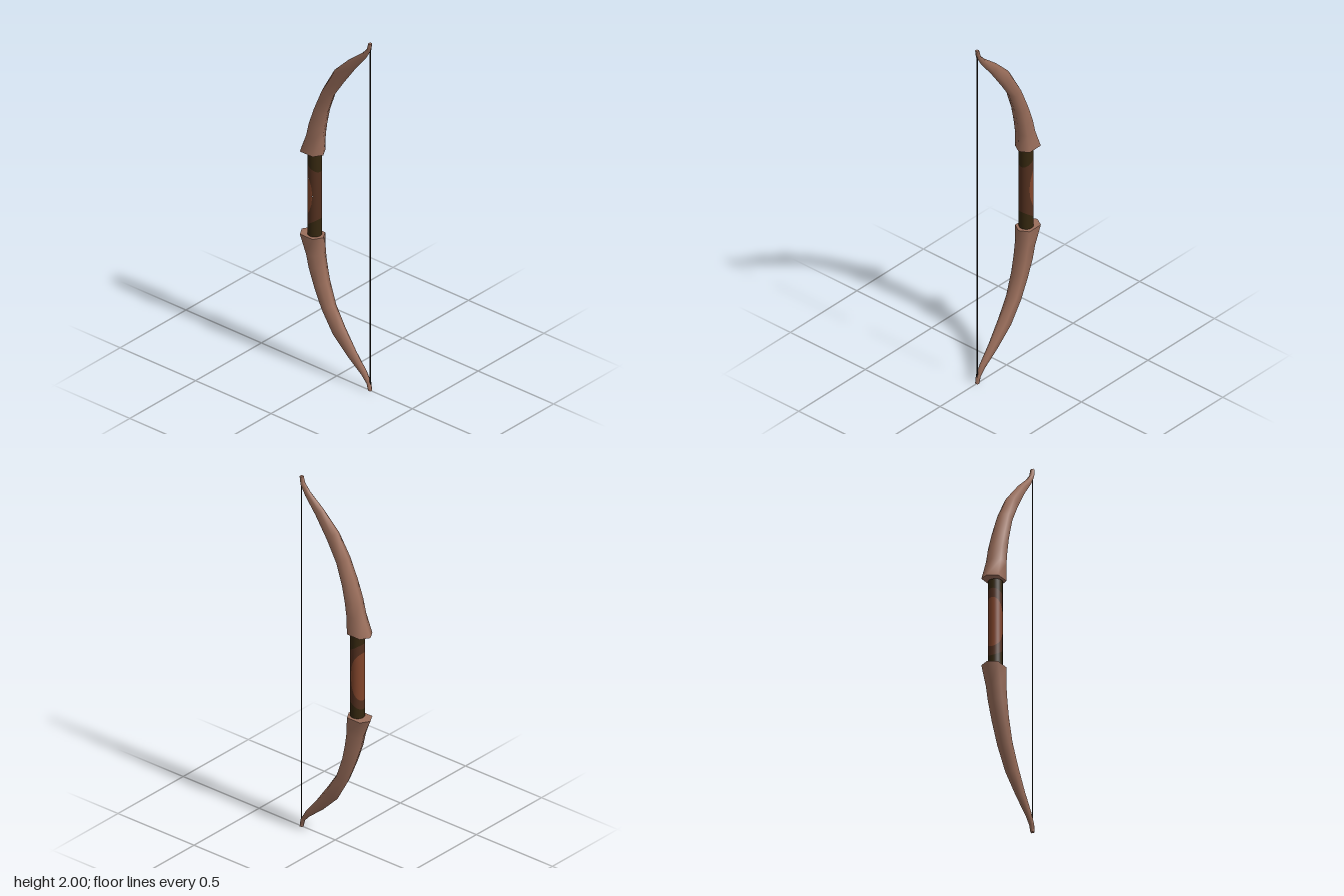
import * as THREE from 'three';

const mat = (name, color, side = THREE.FrontSide) => {
  const m = new THREE.MeshStandardMaterial({ color, side });
  m.name = name;
  return m;
};

// Limb cross-sections: outer x, outer y, inner x, inner y, half depth
const SECTIONS = [
  [-0.232, 1.238, -0.09, 1.238, 0.048],
  [-0.185, 1.345, -0.092, 1.335, 0.043],
  [-0.168, 1.42, -0.082, 1.4, 0.041],
  [-0.132, 1.52, -0.065, 1.485, 0.038],
  [-0.085, 1.635, -0.022, 1.605, 0.033],
  [-0.015, 1.76, 0.04, 1.7, 0.027],
  [0.08, 1.855, 0.121, 1.815, 0.019],
  [0.17, 1.928, 0.19, 1.9, 0.013],
  [0.203, 1.965, 0.222, 1.955, 0.011],
  [0.211, 2, 0.23, 2, 0.009],
];

// Six-sided loft through the sections, closed at both ends
function limbGeometry() {
  const ring = [[0, 0], [0.2, 1], [0.8, 1], [1, 0], [0.8, -1], [0.2, -1]];
  const pos = [], idx = [], n = ring.length;
  const addRing = ([ox, oy, ix, iy, w]) => ring.forEach(([f, s]) =>
    pos.push(ox + (ix - ox) * f, oy + (iy - oy) * f - 1, s * w));
  SECTIONS.forEach(addRing);
  for (let r = 0; r < SECTIONS.length - 1; r++) {
    for (let i = 0; i < n; i++) {
      const a = r * n + i, b = r * n + (i + 1) % n;
      idx.push(a, b, b + n, a, b + n, a + n);
    }
  }
  // Caps have their own vertices so their edges stay sharp
  const base = pos.length / 3;
  addRing(SECTIONS[0]);
  addRing(SECTIONS[SECTIONS.length - 1]);
  for (let i = 1; i < n - 1; i++) {
    idx.push(base, base + i + 1, base + i);
    idx.push(base + n, base + n + i, base + n + i + 1);
  }
  const g = new THREE.BufferGeometry();
  g.setAttribute('position', new THREE.Float32BufferAttribute(pos, 3));
  g.setIndex(idx);
  g.computeVertexNormals();
  return g;
}

const GRIP_X = -0.147, GRIP_R = 0.037, GRIP_H = 0.234;

// Cylindrical strip between two heights that vary with the angle (0 faces -x)
function gripStrip(low, high, maxAngle = Math.PI) {
  const g = new THREE.PlaneGeometry(1, 1, 32, 1);
  const p = g.attributes.position, nrm = g.attributes.normal;
  for (let i = 0; i < p.count; i++) {
    const t = p.getX(i) * 2 * maxAngle;
    const y = p.getY(i) > 0 ? high(t) : low(t);
    p.setXYZ(i, -GRIP_R * Math.cos(t), y, GRIP_R * Math.sin(t));
    nrm.setXYZ(i, -Math.cos(t), 0, Math.sin(t));
  }
  return g;
}

export function createModel() {
  const wood = mat('paleWood', 0x9a6e5b);
  const dark = mat('darkOliveLeather', 0x35270f);
  const brown = mat('brownLeather', 0x53301f);
  const rust = mat('rustLeather', 0x81452b);
  const cord = mat('cord', 0x1e1a16);

  const model = new THREE.Group();
  model.name = 'bow';
  const add = (name, geometry, material, parent) => {
    const m = new THREE.Mesh(geometry, material);
    m.name = name;
    parent.add(m);
    return m;
  };

  // Two identical limbs, the lower one turned over
  const limb = limbGeometry();
  add('upperLimb', limb, wood, model).position.y = 1;
  const lower = add('lowerLimb', limb, wood, model);
  lower.position.y = 1;
  lower.rotation.x = Math.PI;

  // Grip: dark ends, brown band and a rust oval on the outer side
  const grip = new THREE.Group();
  grip.name = 'grip';
  grip.position.set(GRIP_X, 1, 0);
  model.add(grip);
  const ovalAngle = 1.95;
  const oval = t => 0.135 * Math.sqrt(Math.max(0, 1 - (t / ovalAngle) ** 2));
  const band = t => 0.16 + 0.025 * Math.cos(t);
  const end = () => GRIP_H;
  const neg = f => t => -f(t);
  add('gripTop', gripStrip(band, end), dark, grip);
  add('gripBottom', gripStrip(neg(end), neg(band)), dark, grip);
  add('gripBandUpper', gripStrip(oval, band), brown, grip);
  add('gripBandLower', gripStrip(neg(band), neg(oval)), brown, grip);
  add('gripOval', gripStrip(neg(oval), oval, ovalAngle), rust, grip);
  for (const s of [1, -1]) {
    const cap = add(s > 0 ? 'gripTopCap' : 'gripBottomCap', new THREE.CircleGeometry(GRIP_R, 32), dark, grip);
    cap.position.y = s * GRIP_H;
    cap.rotation.x = -s * Math.PI / 2;
  }

  // String between the tips
  add('bowString', new THREE.CylinderGeometry(0.003, 0.003, 1.96, 6), cord, model).position.set(0.221, 1, 0);

  return model;
}
